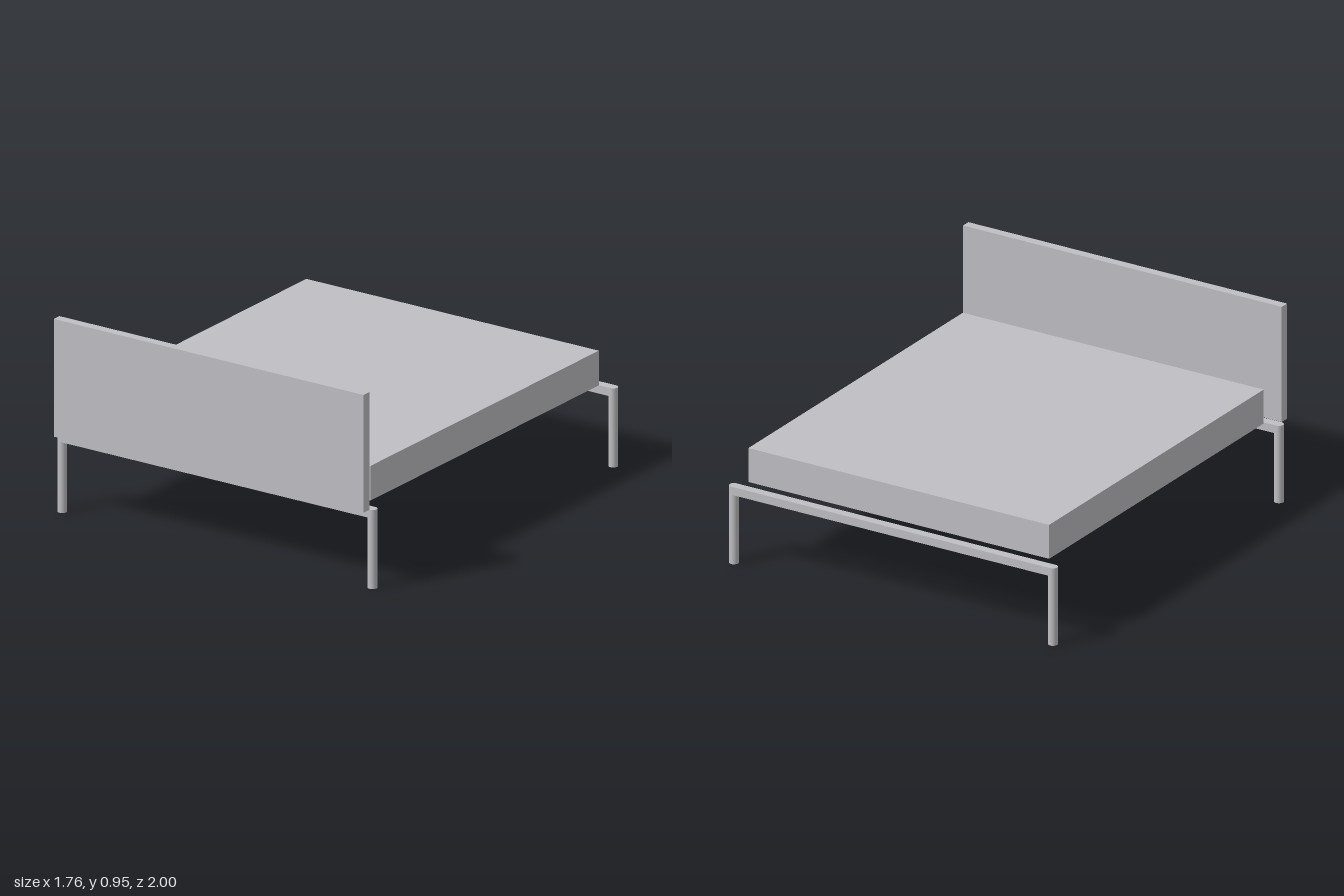
import * as THREE from 'three';

export function createModel() {
  const bed = new THREE.Group();
  bed.name = 'bed';
  const grey = new THREE.MeshStandardMaterial({ color: 0xc0c0c4 });
  grey.name = 'light grey';

  const add = (name, geometry, x, y, z) => {
    const mesh = new THREE.Mesh(geometry, grey);
    mesh.name = name;
    mesh.position.set(x, y, z);
    bed.add(mesh);
  };

  const legRadius = 0.0225;
  const legHeight = 0.383;
  const legX = 0.857;
  const railHeight = 0.04;

  // Mattress and headboard slabs
  add('mattress', new THREE.BoxGeometry(1.616, 0.168, 1.811), 0, 0.477, -0.0275);
  add('headboard', new THREE.BoxGeometry(1.712, 0.57, 0.045), 0, 0.668, 0.9775);

  // Two end frames: a cross rail carried by a round leg at each end
  for (const [end, z] of [['front', 0.931], ['back', -0.9775]]) {
    add(end + 'Rail', new THREE.BoxGeometry(legX * 2, railHeight, legRadius * 2),
      0, legHeight - railHeight / 2, z);
    for (const [side, sign] of [['Left', 1], ['Right', -1]]) {
      add(end + side + 'Leg', new THREE.CylinderGeometry(legRadius, legRadius, legHeight, 32),
        sign * legX, legHeight / 2, z);
    }
  }
  return bed;
}
